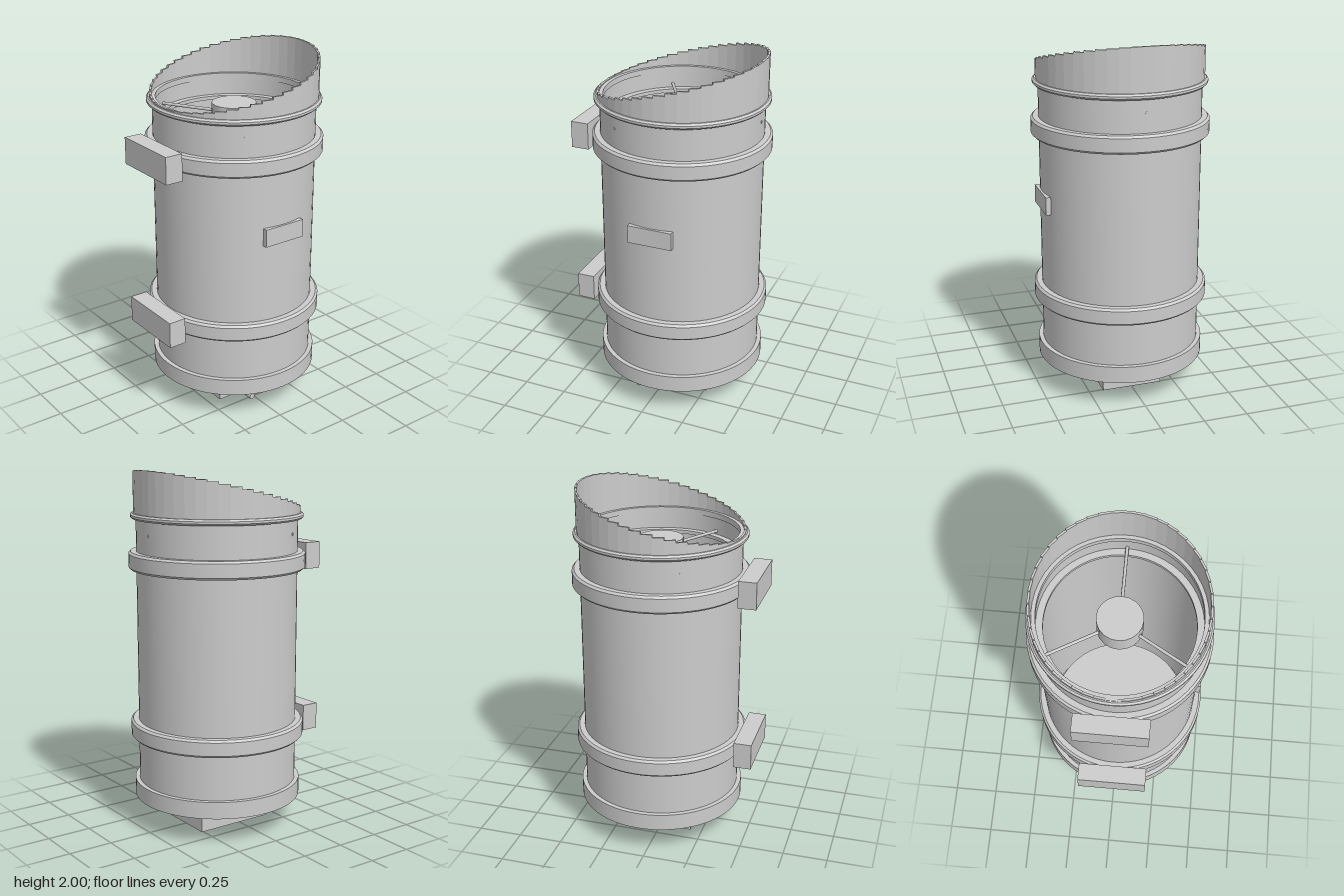
import * as THREE from 'three';
import { toCreasedNormals } from 'three/addons/utils/BufferGeometryUtils.js';

const CX = 0.04; // tube axis
const metal = new THREE.MeshStandardMaterial({ color: 0xcccccc });
metal.name = 'light grey metal';

export function createModel() {
  const model = new THREE.Group();
  model.name = 'reflectorTube';
  const tube = new THREE.Group();
  tube.name = 'tubeAssembly';
  tube.position.x = CX;
  model.add(tube);

  const add = (parent, name, geometry, x = 0, y = 0, z = 0) => {
    const mesh = new THREE.Mesh(geometry, metal);
    mesh.name = name;
    mesh.position.set(x, y, z);
    parent.add(mesh);
    return mesh;
  };
  const box = (parent, name, x0, x1, y0, y1, z0, z1) =>
    add(parent, name, new THREE.BoxGeometry(x1 - x0, y1 - y0, z1 - z0),
      (x0 + x1) / 2, (y0 + y1) / 2, (z0 + z1) / 2);

  // Closed ring with chamfered outer edges
  const ring = (name, inner, outer, y0, y1, c = 0) => {
    const profile = [[inner, y0], [outer - c, y0], [outer, y0 + c],
      [outer, y1 - c], [outer - c, y1], [inner, y1], [inner, y0]]
      .filter((p, i, a) => i === 0 || p[0] !== a[i - 1][0] || p[1] !== a[i - 1][1])
      .map(([r, y]) => new THREE.Vector2(r, y));
    return add(tube, name, toCreasedNormals(new THREE.LatheGeometry(profile, 64), 0.5));
  };

  // Tube wall, clamp bands, front lip and inner baffle
  ring('tubeWall', 0.432, 0.445, 0.2, 1.74);
  ring('lowerBand', 0.44, 0.488, 0.507, 0.605, 0.012);
  ring('upperBand', 0.44, 0.488, 1.457, 1.555, 0.012);
  ring('frontLip', 0.425, 0.475, 1.733, 1.765, 0.01);
  ring('innerBaffle', 0.395, 0.435, 1.62, 1.64);

  // Rear cell with mirror and bolts
  add(tube, 'rearCell', new THREE.CylinderGeometry(0.47, 0.47, 0.095, 64), 0, 0.2075);
  add(tube, 'primaryMirror', new THREE.CylinderGeometry(0.4, 0.4, 0.08, 64), 0, 0.33);
  for (let i = 0; i < 12; i++) {
    const a = (i / 12) * Math.PI * 2;
    add(tube, 'cellBolt', new THREE.CylinderGeometry(0.018, 0.018, 0.02, 12),
      0.4 * Math.cos(a), 0.152, 0.4 * Math.sin(a));
  }

  // Slanted dew shield made of stepped slats
  const slats = 48;
  const slatWidth = 2 * 0.457 * Math.tan(Math.PI / slats);
  for (let i = 0; i < slats; i++) {
    const a = (i / slats) * Math.PI * 2;
    const top = 1.77 + 0.23 * (1 + Math.cos(a)) / 2;
    const slat = add(tube, 'shieldSlat', new THREE.BoxGeometry(0.012, top - 1.75, slatWidth),
      0.451 * Math.cos(a), (top + 1.75) / 2, 0.451 * Math.sin(a));
    slat.rotation.y = -a;
  }

  // Secondary mirror hub held by three vanes
  add(tube, 'secondaryHub', new THREE.CylinderGeometry(0.122, 0.122, 0.12, 20), 0, 1.66);
  for (let i = 0; i < 3; i++) {
    const a = (i / 3) * Math.PI * 2;
    const vane = new THREE.CylinderGeometry(0.009, 0.009, 0.347, 8);
    vane.rotateZ(Math.PI / 2);
    const mesh = add(tube, 'spiderVane', vane, 0.2735 * Math.cos(a), 1.66, 0.2735 * Math.sin(a));
    mesh.rotation.y = -a;
  }

  // Mounting brackets on the side
  for (const y of [0.48, 1.43]) box(model, 'mountBracket', -0.535, -0.435, y, y + 0.15, -0.198, 0.198);

  // Front plate
  box(model, 'frontPlate', -0.085, 0.165, 1.055, 1.155, 0.43, 0.457);

  // Instrument box with its connector and small slot plate
  box(model, 'instrumentBox', -0.185, 0.265, 0.004, 0.165, -0.172, 0.172);
  box(model, 'slotPlate', 0.14, 0.24, 0, 0.006, 0.09, 0.168);
  const plug = new THREE.CylinderGeometry(0.017, 0.017, 0.19, 8);
  plug.rotateX(Math.PI / 2);
  add(model, 'connector', plug, -0.085, 0.078, 0.255);

  return model;
}
